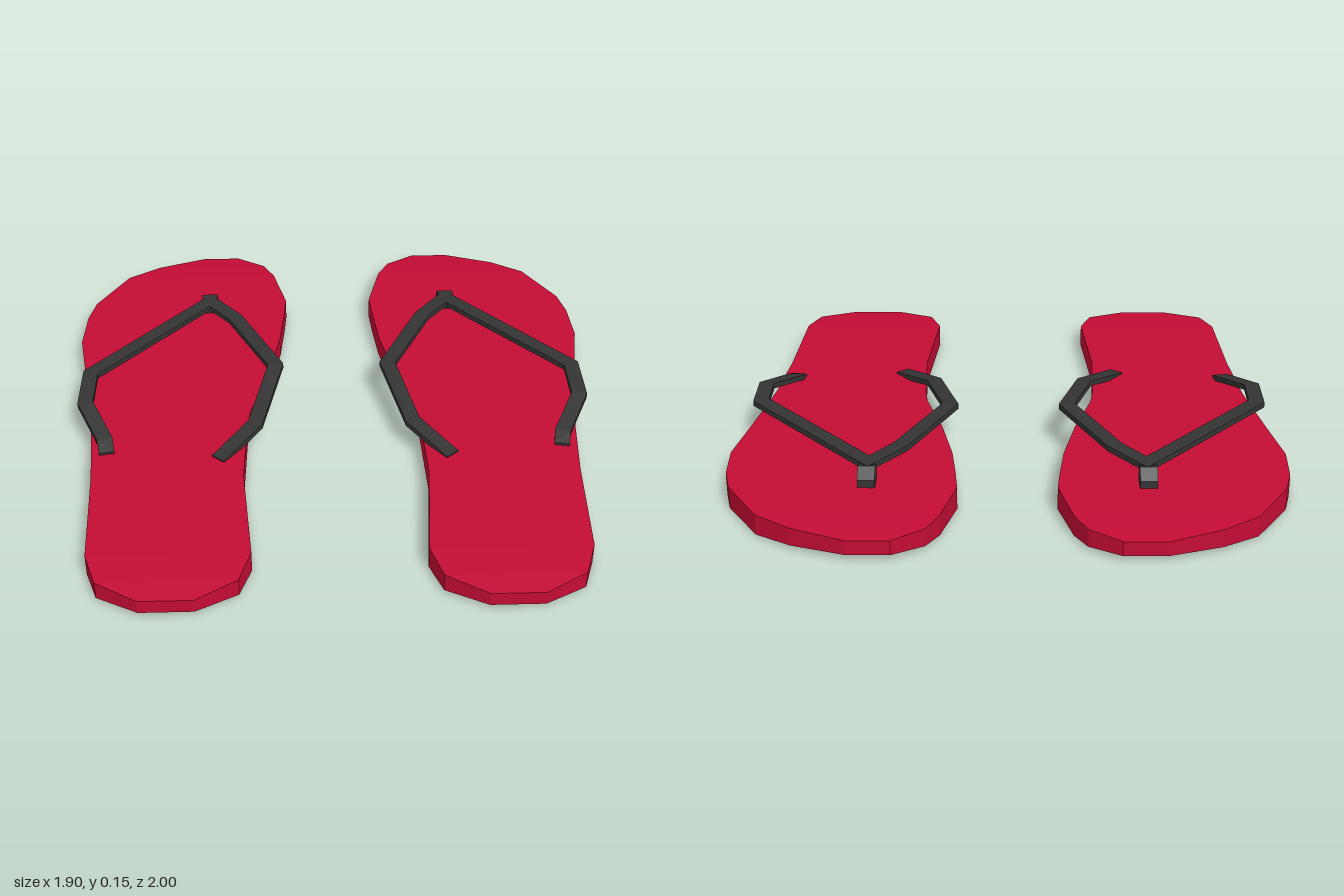
import * as THREE from 'three';

// Skin a series of equal-sized rings; rings run counter-clockwise seen from the sweep's end.
function loft(rings, side) {
  const n = rings[0].length, last = (rings.length - 1) * n;
  const index = [];
  const tri = (a, b, c) => (side > 0 ? index.push(a, b, c) : index.push(a, c, b));
  for (let i = 0; i < rings.length - 1; i++) {
    for (let j = 0; j < n; j++) {
      const a = i * n + j, b = i * n + (j + 1) % n;
      tri(a, b, b + n);
      tri(a, b + n, a + n);
    }
  }
  for (let j = 1; j < n - 1; j++) {
    tri(0, j + 1, j);
    tri(last, last + j, last + j + 1);
  }
  const positions = rings.flat().flatMap(([x, y, z]) => [x * side, y, z]);
  const indexed = new THREE.BufferGeometry();
  indexed.setAttribute('position', new THREE.Float32BufferAttribute(positions, 3));
  indexed.setIndex(index);
  const geometry = indexed.toNonIndexed();
  geometry.computeVertexNormals();
  return geometry;
}

// Sole cross-sections: z, inner x, outer x, bottom y, top y
const SOLE = [
  [-1.00, 0.36, 0.50, 0.02, 0.07],
  [-0.93, 0.255, 0.68, 0.014, 0.076],
  [-0.85, 0.213, 0.80, 0.009, 0.08],
  [-0.66, 0.165, 0.915, 0.004, 0.083],
  [-0.56, 0.173, 0.94, 0.003, 0.083],
  [-0.40, 0.19, 0.95, 0.004, 0.082],
  [-0.18, 0.235, 0.915, 0.007, 0.08],
  [0.05, 0.30, 0.88, 0.008, 0.079],
  [0.13, 0.31, 0.868, 0.008, 0.08],
  [0.41, 0.32, 0.845, 0.004, 0.082],
  [0.80, 0.29, 0.83, 0.003, 0.084],
  [0.92, 0.33, 0.79, 0.012, 0.078],
  [1.00, 0.47, 0.65, 0.02, 0.07],
];

// Strap centre line: from the outer anchor over the toe post to the inner anchor
const STRAP = [
  [0.80, 0.08, 0.28],
  [0.81, 0.098, 0.225],
  [0.89, 0.135, 0.06],
  [0.885, 0.142, -0.11],
  [0.46, 0.132, -0.585],
  [0.36, 0.136, -0.46],
  [0.207, 0.143, -0.14],
  [0.28, 0.108, 0.16],
  [0.41, 0.077, 0.32],
];

// Toe post side profile: z, y
const POST = [[-0.665, 0.07], [-0.665, 0.11], [-0.625, 0.142], [-0.585, 0.135], [-0.585, 0.07]];

function soleRings() {
  return SOLE.map(([z, a, b, lo, hi]) => [[a, lo, z], [b, lo, z], [b, hi, z], [a, hi, z]]);
}

// Flat band with mitred corners
function strapRings(halfWidth, halfThick) {
  const points = STRAP.map(p => new THREE.Vector3(...p));
  const sideways = (a, b) => new THREE.Vector3(b.z - a.z, 0, a.x - b.x).normalize();
  return points.map((p, i) => {
    const before = sideways(points[Math.max(i - 1, 0)], points[Math.max(i, 1)]);
    const end = Math.min(i + 1, points.length - 1);
    const after = sideways(points[end - 1], points[end]);
    const r = before.clone().add(after).normalize();
    r.multiplyScalar(halfWidth / r.dot(before));
    const corner = (s, t) => [p.x + s * r.x, p.y + t * halfThick, p.z + s * r.z];
    return [corner(-1, -1), corner(1, -1), corner(1, 1), corner(-1, 1)];
  });
}

function postRings() {
  return [0.434, 0.492].map(x => POST.map(([z, y]) => [x, y, z]));
}

export function createModel() {
  const red = new THREE.MeshStandardMaterial({ name: 'red foam', color: 0xc40c34, flatShading: true });
  const charcoal = new THREE.MeshStandardMaterial({ name: 'charcoal rubber', color: 0x343434, flatShading: true });
  const model = new THREE.Group();
  model.name = 'flipFlops';

  for (const side of [1, -1]) {
    const sandal = new THREE.Group();
    sandal.name = side > 0 ? 'leftSandal' : 'rightSandal';
    const add = (name, rings, material) => {
      const mesh = new THREE.Mesh(loft(rings, side), material);
      mesh.name = name;
      sandal.add(mesh);
    };
    add('sole', soleRings(), red);
    add('strap', strapRings(0.027, 0.01), charcoal);
    add('toePost', postRings(), charcoal);
    model.add(sandal);
  }
  return model;
}
